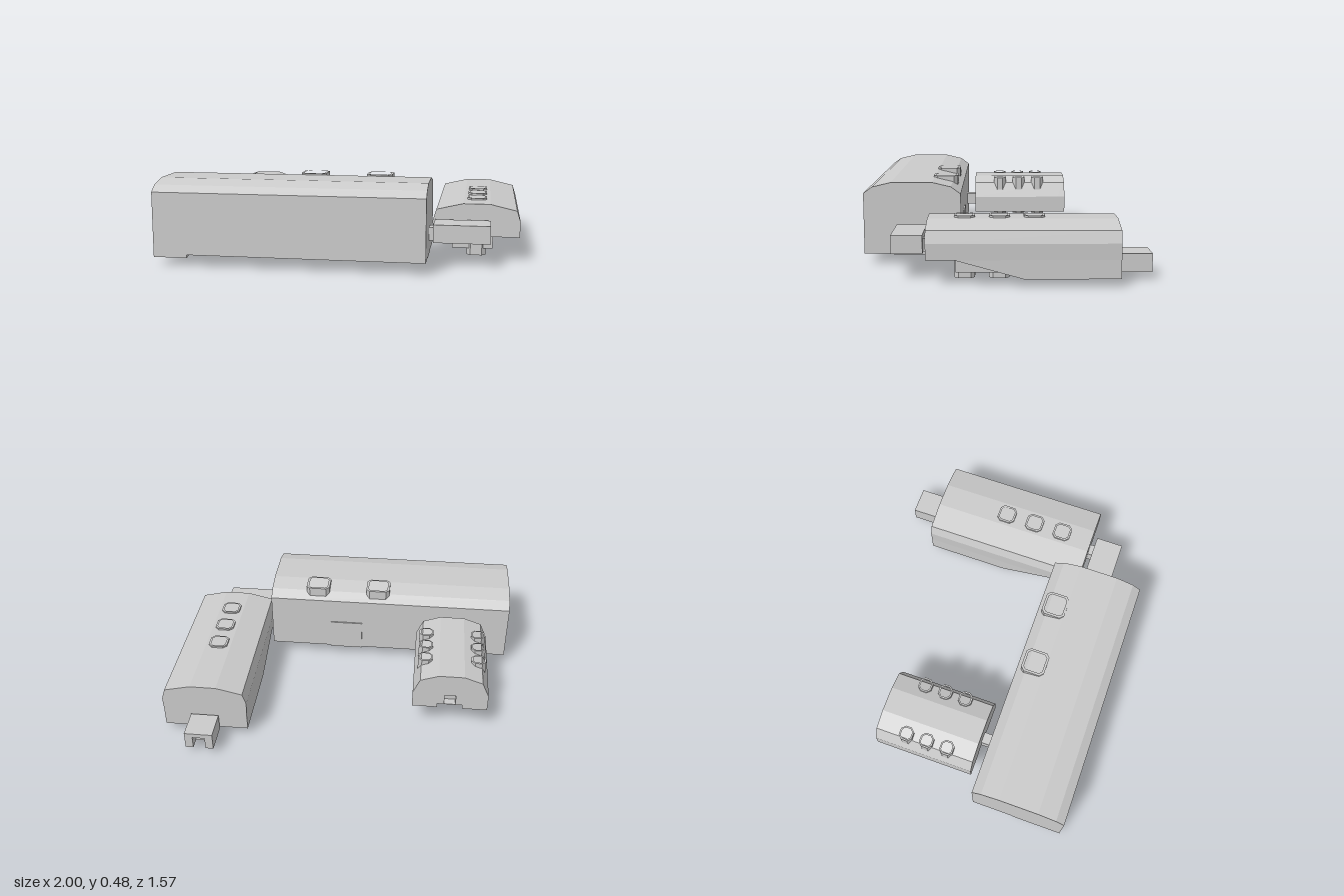
import * as THREE from 'three';

const mat = new THREE.MeshStandardMaterial({ color: 0xcccccc, flatShading: true });

export function createModel() {
  const root = new THREE.Group();

  const add = (name, geo) => {
    const m = new THREE.Mesh(geo, mat);
    m.name = name;
    root.add(m);
    return m;
  };

  // Box given by its limits on each axis
  const box = (name, x0, x1, y0, y1, z0, z1) => {
    const g = new THREE.BoxGeometry(x1 - x0, y1 - y0, z1 - z0);
    g.translate((x0 + x1) / 2, (y0 + y1) / 2, (z0 + z1) / 2);
    return add(name, g);
  };

  // Outline extruded along an axis: x takes [z,y], y takes [x,z], z takes [x,y]
  const prism = (name, axis, pts, from, to, hole) => {
    const map = ([a, b]) => axis === 'x' ? new THREE.Vector2(-a, b)
      : axis === 'y' ? new THREE.Vector2(a, -b) : new THREE.Vector2(a, b);
    const shape = new THREE.Shape(pts.map(map));
    if (hole) shape.holes.push(new THREE.Path(hole.map(map)));
    const g = new THREE.ExtrudeGeometry(shape, { depth: to - from, bevelEnabled: false });
    g.translate(0, 0, from);
    if (axis === 'x') g.rotateY(Math.PI / 2);
    if (axis === 'y') g.rotateX(-Math.PI / 2);
    return add(name, g);
  };

  // Square outline with cut corners
  const cutSquare = (cx, cz, w, d, c) => [
    [cx - w + c, cz - d], [cx + w - c, cz - d], [cx + w, cz - d + c], [cx + w, cz + d - c],
    [cx + w - c, cz + d], [cx - w + c, cz + d], [cx - w, cz + d - c], [cx - w, cz - d + c],
  ];

  // Upright shaft passing through a building, open in the middle
  const shaft = (name, cx, cz, w, d, y0, y1, wall) =>
    prism(name, 'y', cutSquare(cx, cz, w, d, 0.022), y0, y1,
      cutSquare(cx, cz, w - wall, d - wall, 0.015));

  // Main hall
  prism('mainHall', 'x', [
    [0.785, 0.065], [0.785, 0.41], [0.735, 0.445], [0.63, 0.47],
    [0.4, 0.47], [0.295, 0.445], [0.24, 0.405], [0.24, 0.065],
  ], -1, 0.5);
  for (const x of [-0.175, 0.205]) shaft('hallSkylight', x, 0.335, 0.073, 0.07, 0.048, 0.478, 0.014);
  box('hallDoor', -0.08, 0.12, 0.063, 0.25, 0.232, 0.25);

  // Thin patches under the hall floor
  prism('cornerPatch', 'y', [[-1, 0.785], [-0.81, 0.785], [-0.84, 0.62], [-0.9, 0.53], [-1, 0.49]], 0.048, 0.07);
  prism('backPatch', 'y', [[-0.78, 0.24], [-0.5, 0.24], [-0.52, 0.34], [-0.58, 0.39], [-0.7, 0.39], [-0.76, 0.34]], 0.058, 0.07);
  prism('sidePatch', 'y', [[0.5, 0.43], [0.5, 0.62], [0.42, 0.61], [0.37, 0.56], [0.38, 0.47], [0.43, 0.43]], 0.058, 0.07);
  prism('middlePatch', 'y', cutSquare(-0.14, 0.59, 0.18, 0.1, 0.06), 0.062, 0.07);

  // Long side building: roofed body over a central stem and two sloping flanks
  prism('sideBuildingBody', 'z', [
    [0.513, 0.14], [0.51, 0.225], [0.53, 0.29], [0.68, 0.325],
    [0.83, 0.325], [0.98, 0.29], [1, 0.225], [0.997, 0.14],
  ], -0.597, 0.403);
  box('sideBuildingStem', 0.615, 0.85, 0.04, 0.145, -0.597, 0.257);
  for (const [a, b] of [[0.513, 0.615], [0.85, 0.997]]) {
    prism('sideBuildingFlank', 'x', [[0.257, 0.14], [-0.1, 0.04], [-0.597, 0.04], [-0.597, 0.14]], a, b);
  }
  for (const z of [0.21, 0.025, -0.16]) shaft('sideBuildingShaft', 0.755, z, 0.055, 0.055, 0, 0.335, 0.012);

  // Front lobby with links to the hall and the side building
  box('frontLobby', 0.525, 0.835, 0.137, 0.237, 0.43, 0.597);
  box('lobbyHallLink', 0.49, 0.53, 0.14, 0.212, 0.47, 0.545);
  box('lobbyBuildingLink', 0.72, 0.79, 0.14, 0.21, 0.4, 0.435);

  // Rear porch with an open doorway
  box('rearLink', 0.72, 0.79, 0.04, 0.11, -0.62, -0.59);
  box('rearPorch', 0.675, 0.835, 0.037, 0.137, -0.72, -0.612);
  prism('rearPorchDoorway', 'z', [
    [0.675, 0.037], [0.72, 0.037], [0.72, 0.11], [0.79, 0.11],
    [0.79, 0.037], [0.835, 0.037], [0.835, 0.137], [0.675, 0.137],
  ], -0.783, -0.72);

  // Small annex with a channel along its underside and a doorway in the back
  const annex = [
    [-0.865, 0.145], [-0.865, 0.245], [-0.825, 0.335], [-0.72, 0.372],
    [-0.575, 0.372], [-0.47, 0.335], [-0.43, 0.245], [-0.43, 0.145],
    [-0.575, 0.145], [-0.575, 0.17], [-0.72, 0.17], [-0.72, 0.145],
  ];
  prism('annexBody', 'z', annex, -0.37, 0.18);
  prism('annexBackWall', 'z', annex, -0.417, -0.37,
    [[-0.68, 0.173], [-0.615, 0.173], [-0.615, 0.235], [-0.68, 0.235]]);
  box('annexHallLink', -0.68, -0.615, 0.17, 0.24, 0.17, 0.25);
  for (const s of [-1, 1]) {
    for (const z of [0.015, -0.11, -0.235]) {
      shaft('annexShaft', -0.6475 + s * 0.155, z, 0.042, 0.04, 0.13, 0.371, 0.01);
    }
  }

  return root;
}
